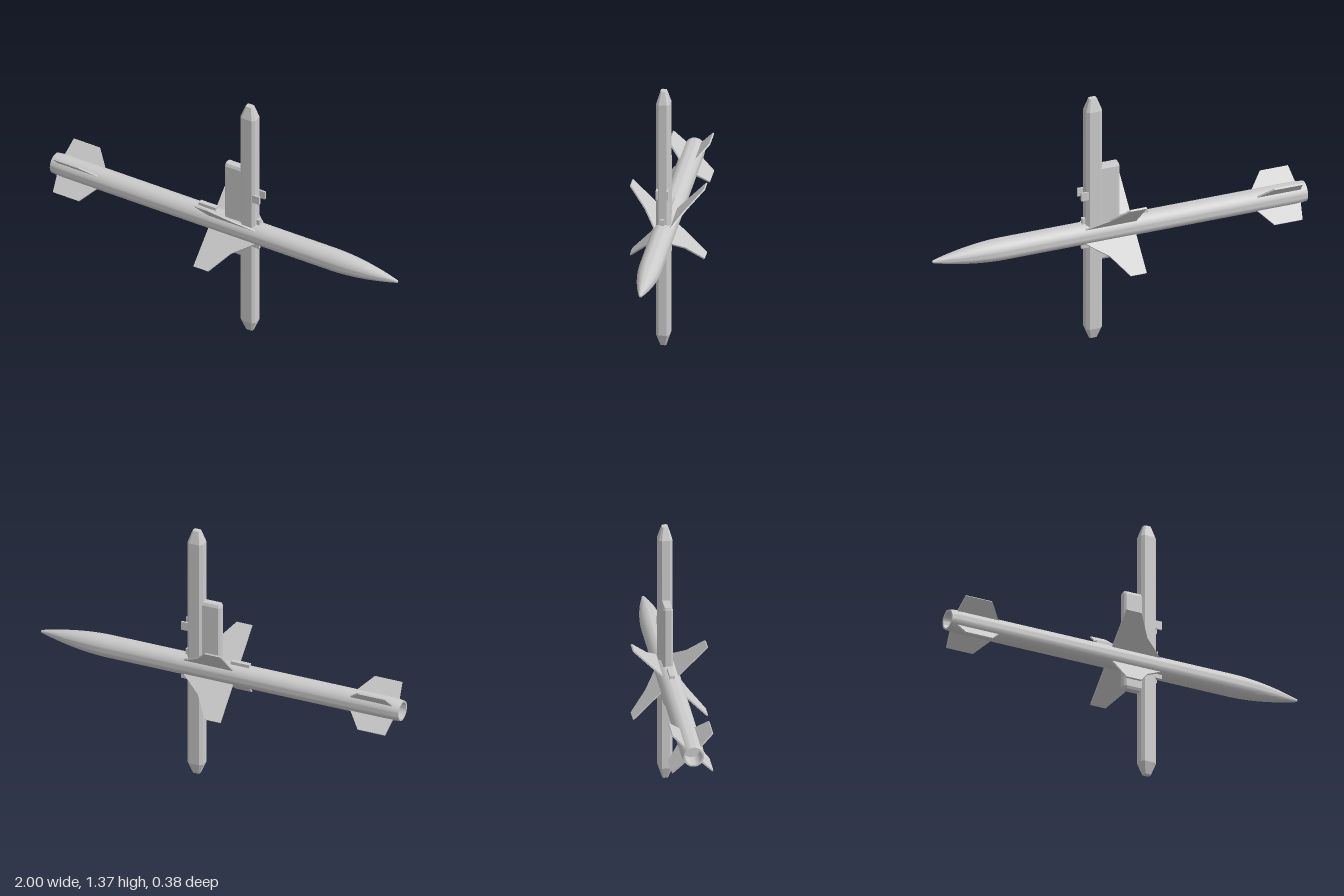
import * as THREE from 'three';
import { toCreasedNormals } from 'three/addons/utils/BufferGeometryUtils.js';

const AXIS = 0.603;
const grey = new THREE.MeshStandardMaterial({ color: 0xcccccc });

export function createModel() {
  const model = new THREE.Group();

  const add = (name, geometry, x = 0, y = 0, z = 0) => {
    const mesh = new THREE.Mesh(geometry, grey);
    mesh.name = name;
    mesh.position.set(x, y, z);
    model.add(mesh);
    return mesh;
  };

  const box = (name, x0, x1, y0, y1, z0, z1) =>
    add(name, new THREE.BoxGeometry(x1 - x0, y1 - y0, z1 - z0),
      (x0 + x1) / 2, (y0 + y1) / 2, (z0 + z1) / 2);

  // Upright bar with chamfered corners, lofted through levels [y, x0, x1, halfZ, chamfer]
  const chamferedBar = (levels) => {
    const pos = [];
    const rings = levels.map(([y, x0, x1, h, c]) => [
      [x1, h - c], [x1 - c, h], [x0 + c, h], [x0, h - c],
      [x0, c - h], [x0 + c, -h], [x1 - c, -h], [x1, c - h],
    ].map(([x, z]) => [x, y, z]));
    const tri = (a, b, c) => pos.push(...a, ...b, ...c);
    for (let r = 0; r < rings.length - 1; r++) {
      for (let i = 0; i < 8; i++) {
        const j = (i + 1) % 8, lo = rings[r], hi = rings[r + 1];
        tri(lo[i], hi[j], lo[j]);
        tri(lo[i], hi[i], hi[j]);
      }
    }
    const bottom = rings[0], top = rings[rings.length - 1];
    for (let i = 1; i < 7; i++) {
      tri(bottom[0], bottom[i], bottom[i + 1]);
      tri(top[0], top[i + 1], top[i]);
    }
    const g = new THREE.BufferGeometry();
    g.setAttribute('position', new THREE.Float32BufferAttribute(pos, 3));
    g.computeVertexNormals();
    return g;
  };

  // Fuselage: hollow tail, slight boat-tail, long ogive nose
  const profile = [
    [0, -0.9], [0.043, -0.9], [0.043, -1], [0.052, -1], [0.056, -0.97], [0.058, -0.93], [0.058, 0.62],
  ].map(([r, a]) => new THREE.Vector2(r, a));
  for (let i = 1; i <= 14; i++) {
    const t = i / 14;
    profile.push(new THREE.Vector2(0.007 + 0.051 * (1 - t ** 1.85), 0.62 + 0.377 * t));
  }
  profile.push(new THREE.Vector2(0.004, 0.9995), new THREE.Vector2(0, 1));
  const fuselage = new THREE.LatheGeometry(profile, 40);
  fuselage.rotateZ(-Math.PI / 2);
  add('fuselage', toCreasedNormals(fuselage, 0.6), 0, AXIS, 0);

  // Four fins per set in an X; outlines are [x, radius]
  const finSet = (name, outline, thickness) => {
    const shape = new THREE.Shape(outline.map(([x, r]) => new THREE.Vector2(x, r)));
    const g = new THREE.ExtrudeGeometry(shape, { depth: thickness, bevelEnabled: false });
    g.translate(0, 0, -thickness / 2);
    for (let i = 0; i < 4; i++) {
      add(name, g, 0, AXIS, 0).rotation.x = Math.PI / 4 + i * Math.PI / 2;
    }
  };
  finSet('midFin', [[-0.08, 0.05], [0.2, 0.05], [0.185, 0.064], [0.085, 0.145], [0.005, 0.265], [-0.08, 0.265]], 0.008);
  finSet('tailFin', [[-0.965, 0.05], [-0.72, 0.05], [-0.735, 0.062], [-0.8, 0.145], [-0.95, 0.145]], 0.008);

  // Upright pylon with tapered ends
  add('pylon', chamferedBar([
    [0, 0.118, 0.158, 0.015, 0.006],
    [0.06, 0.095, 0.18, 0.035, 0.014],
    [1.305, 0.095, 0.18, 0.035, 0.014],
    [1.37, 0.118, 0.158, 0.015, 0.006],
  ]));

  // Fairing behind the pylon, above and below the fuselage
  add('rearFairing', chamferedBar([
    [0.445, 0.012, 0.12, 0.018, 0.006],
    [0.458, 0, 0.12, 0.025, 0.01],
    [0.965, 0, 0.12, 0.025, 0.01],
    [0.98, 0.004, 0.12, 0.018, 0.006],
  ]));

  // Paired lugs on the front edge of the pylon
  for (const s of [-1, 1]) {
    const z0 = s > 0 ? 0.022 : -0.032;
    box('upperLug', 0.15, 0.21, 0.805, 0.85, z0, z0 + 0.01);
    box('lowerLug', 0.15, 0.21, 0.533, 0.58, z0, z0 + 0.01);
  }

  // Small blocks on top of the fuselage
  box('frontBlock', 0.17, 0.197, 0.64, 0.69, -0.01, 0.01);
  box('topBlock', -0.155, -0.055, 0.645, 0.676, -0.013, 0.013);

  return model;
}
